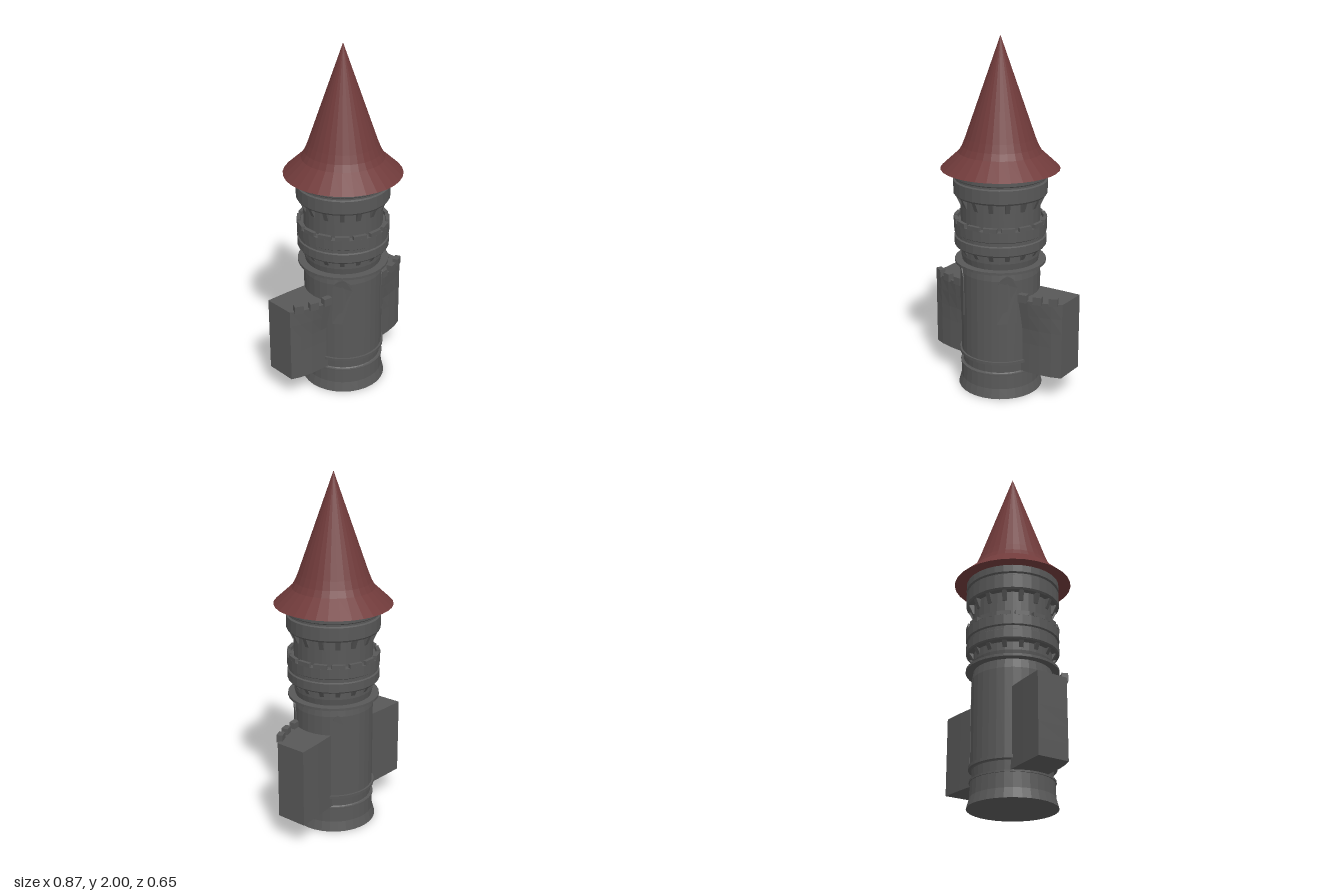
import * as THREE from 'three';

const stone = new THREE.MeshStandardMaterial({ color: 0x585858 });
stone.name = 'grey stone';
const tiles = new THREE.MeshStandardMaterial({ color: 0x713b3b });
tiles.name = 'dark red tiles';

// faceted normals without sharing vertices
function faceted(geo) {
  const g = geo.index ? geo.toNonIndexed() : geo;
  g.computeVertexNormals();
  return g;
}

function add(parent, name, geo, mat = stone) {
  const mesh = new THREE.Mesh(geo, mat);
  mesh.name = name;
  parent.add(mesh);
  return mesh;
}

const lathe = (pts, seg = 32) =>
  faceted(new THREE.LatheGeometry(pts.map(([r, y]) => new THREE.Vector2(r, y)), seg));

// repeat a small block around the tower axis
function ringOf(parent, name, count, radius, y, makeGeo) {
  const group = new THREE.Group();
  group.name = name;
  const geo = makeGeo();
  for (let i = 0; i < count; i++) {
    const a = (i / count) * Math.PI * 2;
    const m = add(group, name + 'Block', geo);
    m.position.set(Math.sin(a) * radius, y, Math.cos(a) * radius);
    m.rotation.y = a;
  }
  parent.add(group);
}

// wedge bracket, deeper at its top
function corbel(h) {
  const g = new THREE.BoxGeometry(0.024, h, 0.04);
  const p = g.attributes.position;
  for (let i = 0; i < p.count; i++) {
    if (p.getY(i) < 0 && p.getZ(i) > 0) p.setZ(i, -0.005);
  }
  return faceted(g);
}

// thin arched panel wrapped around the shaft
function archPanel(halfWidth, bottom, spring, top, radius) {
  const s = new THREE.Shape();
  s.moveTo(-halfWidth, bottom);
  s.lineTo(0, bottom);
  s.lineTo(halfWidth, bottom);
  s.lineTo(halfWidth, spring);
  s.quadraticCurveTo(halfWidth, (spring + top) / 2 + 0.01, 0, top);
  s.quadraticCurveTo(-halfWidth, (spring + top) / 2 + 0.01, -halfWidth, spring);
  const g = new THREE.ExtrudeGeometry(s, { depth: 0.008, bevelEnabled: false, curveSegments: 5 });
  const p = g.attributes.position;
  for (let i = 0; i < p.count; i++) {
    const a = p.getX(i) / radius, r = radius + p.getZ(i);
    p.setXYZ(i, Math.sin(a) * r, p.getY(i), Math.cos(a) * r);
  }
  return faceted(g);
}

// wall stub beside the shaft; its front leans out towards the top
function wingGeometry(side) {
  const outline = [
    [0.435, 0.035], [0.38, 0.064], [0.31, 0.088], [0.25, 0.102], [0.15, 0.11],
    [0.15, -0.125], [0.3, -0.138], [0.435, -0.145],
  ];
  const s = new THREE.Shape(outline.map(([x, z]) => new THREE.Vector2(x * side, -z)));
  const g = new THREE.ExtrudeGeometry(s, { depth: 0.44, steps: 5, bevelEnabled: false });
  g.rotateX(-Math.PI / 2);
  g.translate(0, 0.15, 0);
  const p = g.attributes.position;
  for (let i = 0; i < p.count; i++) {
    if (p.getZ(i) < 0.05) continue;
    const down = Math.min(1, (0.59 - p.getY(i)) / 0.2);
    const inner = Math.min(1, (0.435 - Math.abs(p.getX(i))) / 0.2);
    p.setZ(i, p.getZ(i) - 0.028 * down * inner);
  }
  return faceted(g);
}

export function createModel() {
  const model = new THREE.Group();
  model.name = 'tower';

  // shaft with flared foot and narrower neck
  add(model, 'shaft', lathe([
    [0, 0], [0.24, 0], [0.225, 0.055], [0.222, 0.14], [0.212, 0.15], [0.214, 0.2],
    [0.222, 0.21], [0.222, 0.7], [0.212, 0.76], [0.22, 0.8], [0.22, 1.285], [0, 1.285],
  ]));

  // thin string courses
  const band = (name, r, y, h) => add(model, name,
    lathe([[0.2, y - h / 2], [r, y - h / 2], [r, y + h / 2], [0.2, y + h / 2]]));
  band('lowerBand', 0.233, 0.213, 0.016);
  band('upperBand', 0.255, 0.757, 0.014);
  band('footBand', 0.228, 0.14, 0.01);

  // lower gallery
  add(model, 'lowerGallery', lathe([
    [0.215, 0.845], [0.25, 0.85], [0.256, 0.858], [0.256, 0.905], [0.248, 0.91],
    [0.248, 0.928], [0.257, 0.934], [0.257, 0.99], [0.215, 0.99],
  ]));
  ringOf(model, 'galleryParapet', 16, 0.246, 1.0, () => new THREE.BoxGeometry(0.075, 0.024, 0.02));
  ringOf(model, 'lowerCorbels', 16, 0.225, 0.835, () => corbel(0.04));

  // upper gallery beneath the roof
  add(model, 'upperGallery', lathe([
    [0.215, 1.14], [0.252, 1.14], [0.259, 1.15], [0.259, 1.222], [0.25, 1.228],
    [0.25, 1.238], [0.259, 1.245], [0.259, 1.285], [0.215, 1.285],
  ]));
  ringOf(model, 'upperCorbels', 16, 0.23, 1.115, () => corbel(0.056));

  // arched panels on the shaft
  [1, -1].forEach((side) => {
    add(model, 'frontPanel', archPanel(0.055, 0.45, 0.66, 0.735, 0.219)).rotation.y = side * Math.PI / 4;
  });
  add(model, 'backPanel', archPanel(0.03, 0.25, 0.65, 0.71, 0.217)).rotation.y = Math.PI * 0.75;

  // side walls with merlons along their front edge
  [1, -1].forEach((side) => {
    const wing = new THREE.Group();
    wing.name = side > 0 ? 'leftWall' : 'rightWall';
    add(wing, 'wall', wingGeometry(side));
    [[0.388, 0.053, 0.42], [0.307, 0.085, 0.3], [0.222, 0.1, 0.15]].forEach(([x, z, turn]) => {
      const m = add(wing, 'merlon', new THREE.BoxGeometry(0.05, 0.045, 0.034));
      m.position.set(side * x, 0.603, z);
      m.rotation.y = side * turn;
    });
    model.add(wing);
  });

  // flared conical roof with closed underside
  add(model, 'roof', lathe([
    [0, 1.284], [0.327, 1.284], [0.228, 1.375], [0.208, 1.41], [0.19, 1.455], [0, 2],
  ]), tiles);

  return model;
}
